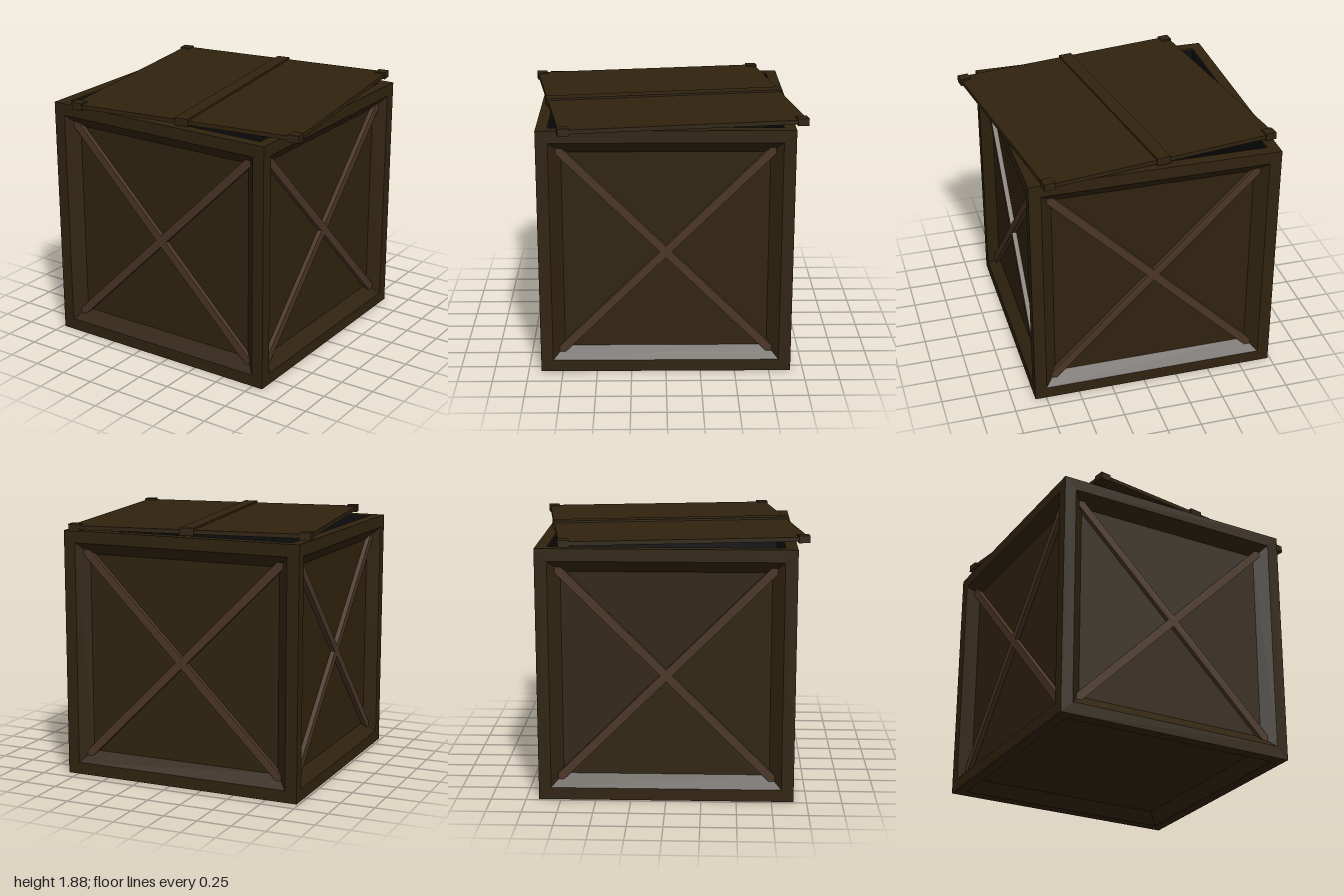
import * as THREE from 'three';

const HALF = 0.9075;      // half the crate's edge
const CENTRE_X = -0.075;  // the crate sits off centre below its skewed lid

const material = (name, color, extra = {}) =>
  Object.assign(new THREE.MeshStandardMaterial({ color, ...extra }), { name });

function mesh(name, geometry, mat, x = 0, y = 0, z = 0) {
  const m = new THREE.Mesh(geometry, mat);
  m.name = name;
  m.position.set(x, y, z);
  return m;
}

const box = (name, mat, size, x, y, z) =>
  mesh(name, new THREE.BoxGeometry(...size), mat, x, y, z);

// Square frame, bevelled inwards to a sunken panel: rings of [half size, depth]
function framedPanelGeometry() {
  const rings = [[HALF, HALF], [0.82, HALF], [0.735, HALF - 0.08]];
  const corner = ([s, z], i) => [[-s, -s, z], [s, -s, z], [s, s, z], [-s, s, z]][i % 4];
  const points = [];
  const quad = (a, b, c, d) => points.push(...a, ...b, ...c, ...a, ...c, ...d);
  for (let r = 0; r < rings.length - 1; r++) {
    for (let i = 0; i < 4; i++) {
      quad(corner(rings[r], i), corner(rings[r], i + 1),
        corner(rings[r + 1], i + 1), corner(rings[r + 1], i));
    }
  }
  quad(...[0, 1, 2, 3].map((i) => corner(rings[2], i)));
  const g = new THREE.BufferGeometry();
  g.setAttribute('position', new THREE.Float32BufferAttribute(points, 3));
  g.computeVertexNormals();
  return g;
}

// Square rim around the open top
function rimGeometry(outer, inner, depth) {
  const square = (s) => [[-s, -s], [s, -s], [s, s], [-s, s]].map((p) => new THREE.Vector2(...p));
  const shape = new THREE.Shape(square(outer));
  shape.holes.push(new THREE.Path(square(inner)));
  return new THREE.ExtrudeGeometry(shape, { depth, bevelEnabled: false }).rotateX(-Math.PI / 2);
}

export function createModel() {
  const wood = material('dark wood', 0x30230f);
  const braceWood = material('brace wood', 0x4a3525);
  const shade = material('dark interior', 0x0d0d0e);

  const model = new THREE.Group();
  model.name = 'openCrate';

  // Crate body
  const crate = new THREE.Group();
  crate.name = 'crate';
  crate.position.set(CENTRE_X, HALF, 0);
  model.add(crate);

  // Four sides, each with crossed braces running into the bevel
  const panel = framedPanelGeometry();
  for (let i = 0; i < 4; i++) {
    const side = new THREE.Group();
    side.name = 'side';
    side.rotation.y = i * Math.PI / 2;
    side.add(mesh('framedPanel', panel, wood));
    for (const turn of [-1, 1]) {
      const brace = box('brace', braceWood, [2.21, 0.06, 0.035], 0, 0, 0.844);
      brace.rotation.z = turn * Math.PI / 4;
      side.add(brace);
    }
    crate.add(side);
  }

  // Bottom
  const bottom = mesh('bottomPanel', panel, wood);
  bottom.rotation.x = Math.PI / 2;
  crate.add(bottom);

  // Top rim and the inward-facing cavity
  crate.add(mesh('topRim', rimGeometry(HALF - 0.0005, 0.825, 0.08), wood, 0, HALF - 0.08, 0));
  const inside = new THREE.BoxGeometry(1.644, 1.72, 1.644).scale(-1, 1, 1);
  inside.computeVertexNormals();
  crate.add(mesh('interior', inside, shade, 0, 0.042, 0));

  // Skewed lid with a middle strip and corner caps
  const lid = new THREE.Group();
  lid.name = 'lid';
  lid.position.y = 1.849;
  lid.rotation.y = THREE.MathUtils.degToRad(8.5);
  lid.add(box('lidBoard', wood, [1.745, 0.03, 1.745], 0, 0, 0));
  lid.add(box('lidStrip', wood, [0.1, 0.054, 1.765], 0, 0.002, 0));
  for (const x of [-1, 1]) {
    for (const z of [-1, 1]) {
      lid.add(box('cornerCap', wood, [0.08, 0.052, 0.08], x * 0.84, 0, z * 0.84));
    }
  }
  model.add(lid);

  return model;
}
